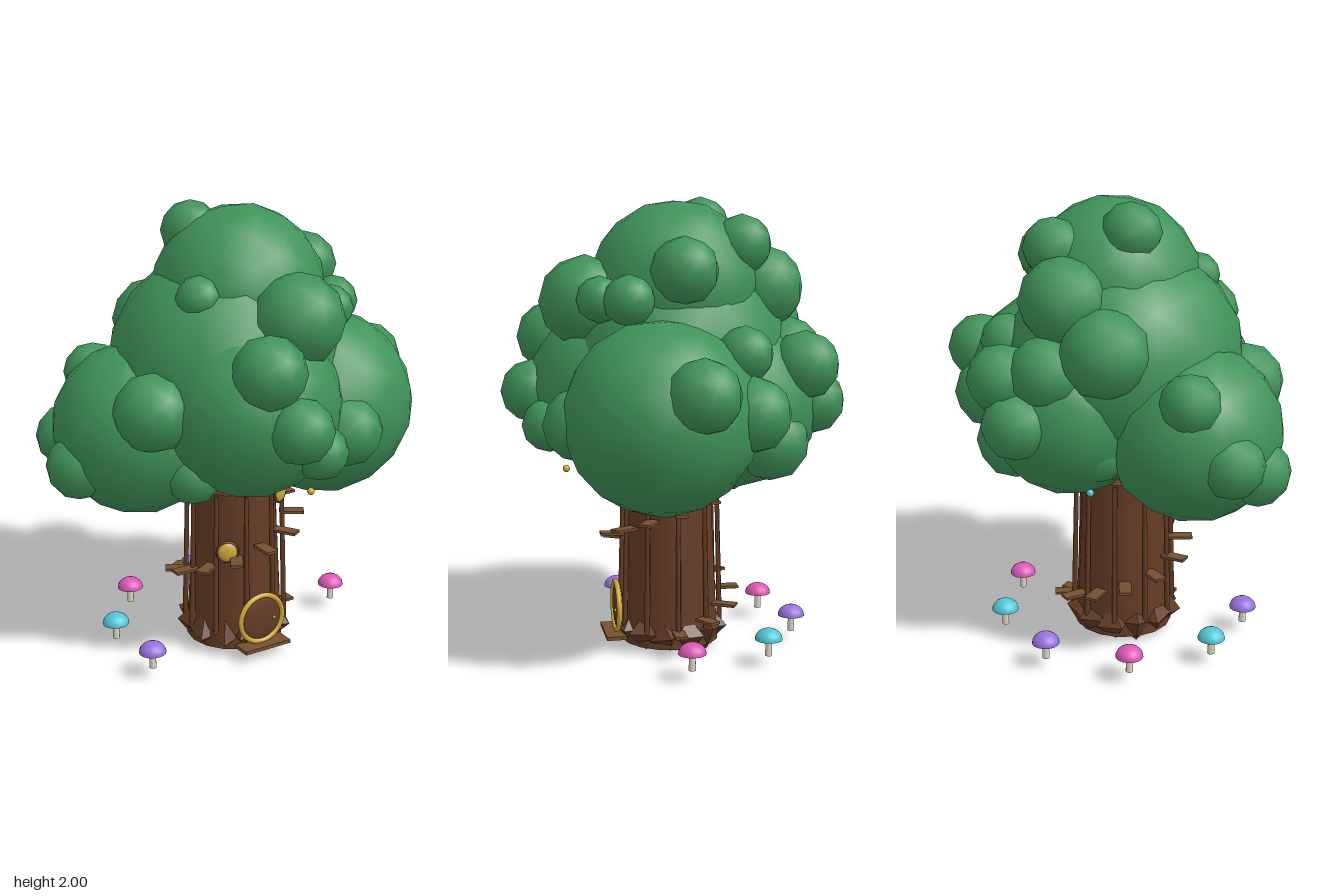
import * as THREE from 'three';

const mat = (name, color, side = THREE.FrontSide) => {
  const m = new THREE.MeshStandardMaterial({ color, side });
  m.name = name;
  return m;
};

export function createModel() {
  const root = new THREE.Group();
  root.name = 'treeHouse';
  const leaf = mat('leaf green', 0x3f9359);
  const bark = mat('bark brown', 0x643c25);
  const plank = mat('plank brown', 0x76502f);
  const gold = mat('gold', 0xd0aa34);
  const stemMat = mat('stem cream', 0xddd5c4);
  const pink = mat('pink', 0xdb55b6, THREE.DoubleSide);
  const teal = mat('teal', 0x50c6d6, THREE.DoubleSide);
  const purple = mat('purple', 0x9670dc, THREE.DoubleSide);

  const add = (name, geo, material, x = 0, y = 0, z = 0, parent = root) => {
    const mesh = new THREE.Mesh(geo, material);
    mesh.name = name;
    mesh.position.set(x, y, z);
    parent.add(mesh);
    return mesh;
  };
  let seed = 7;
  const rand = () => (seed = (seed * 16807) % 2147483647) / 2147483647;

  // Crown: large leaf masses [x, y, z, radius]
  const crown = new THREE.Group();
  crown.name = 'crown';
  root.add(crown);
  [
    [-0.05, 1.3, -0.03, 0.51],
    [0.015, 1.61, -0.02, 0.38],
    [0.37, 1.095, 0.1, 0.415],
    [-0.425, 1.045, -0.13, 0.38],
    [-0.085, 1.18, 0.22, 0.4],
    [0.09, 1.11, -0.27, 0.37],
  ].forEach(([x, y, z, r]) => add('leafMass', new THREE.IcosahedronGeometry(r, 2), leaf, x, y, z, crown));

  // Small leaf clumps, in two batches
  const clump = ([x, y, z, r]) => add('leafClump', new THREE.IcosahedronGeometry(r, 1), leaf, x, y, z, crown);
  [
    [-0.14, 1.87, -0.16, 0.13],
    [0.34, 1.7, 0, 0.145],
    [0.16, 1.8, -0.28, 0.13],
    [0.05, 1.56, 0.38, 0.2],
    [-0.17, 1.39, 0.5, 0.16],
    [-0.08, 1.16, 0.6, 0.14],
    [0.06, 1.03, 0.54, 0.12],
    [0.27, 1.06, 0.43, 0.16],
    [-0.52, 1.2, 0.17, 0.17],
    [-0.71, 0.92, -0.13, 0.15],
    [0.71, 1.23, -0.01, 0.155],
    [-0.29, 1.645, 0.16, 0.1],
    [0.33, 1.58, 0.23, 0.11],
    [0.24, 1.58, 0.34, 0.1],
  ].forEach(clump);
  [
    [0.42, 1.36, -0.24, 0.12],
    [0.05, 1.61, -0.39, 0.19],
    [-0.17, 1.43, -0.44, 0.19],
    [0.26, 1.29, -0.54, 0.15],
    [0.07, 1.33, -0.5, 0.16],
    [0.16, 1.12, -0.6, 0.145],
    [0.5, 1.12, -0.26, 0.16],
    [0.3, 0.97, -0.38, 0.17],
    [-0.52, 1.25, -0.37, 0.13],
    [-0.68, 1.0, -0.31, 0.14],
    [-0.1, 0.98, -0.38, 0.13],
    [-0.35, 0.9, 0.2, 0.12],
  ].forEach(clump);

  // Trunk with thin bark ridges; its axis sits slightly off centre
  const trunk = new THREE.Group();
  trunk.name = 'trunk';
  trunk.position.x = -0.02;
  root.add(trunk);
  add('trunkCore', new THREE.CylinderGeometry(0.185, 0.22, 0.72, 16), bark, 0, 0.39, 0, trunk);
  for (let i = 0; i < 10; i++) {
    const a = i / 10 * Math.PI * 2;
    const ridge = add('barkRidge', new THREE.CylinderGeometry(0.01, 0.012, 0.65, 6), bark,
      Math.cos(a) * 0.219, 0.425, Math.sin(a) * 0.219, trunk);
    ridge.rotation.set(-Math.sin(a) * 0.025, 0, Math.cos(a) * 0.025);
  }

  // Jagged root lumps around the foot
  for (let i = 0; i < 12; i++) {
    const a = (i + 0.5) / 12 * Math.PI * 2;
    const geo = new THREE.OctahedronGeometry(0.078 + rand() * 0.01, 0);
    geo.rotateZ((rand() - 0.5) * 0.7).rotateY(rand() * 6);
    add('rootLump', geo, bark, Math.cos(a) * 0.185, 0.085 + rand() * 0.015, Math.sin(a) * 0.185, trunk);
  }

  // Spiral of step planks
  for (let i = 0; i < 16; i++) {
    const a = i * Math.PI / 6;
    const step = add('stepPlank', new THREE.BoxGeometry(0.11, 0.012, 0.055), plank,
      Math.cos(a) * 0.258, 0.112 + i * 0.045, -Math.sin(a) * 0.258, trunk);
    step.rotation.y = a;
  }

  // Round domed door with rim, knob and doorstep
  const door = new THREE.Group();
  door.name = 'door';
  door.position.set(-0.03, 0.18, 0.24);
  root.add(door);
  add('doorPanel', new THREE.SphereGeometry(0.11, 32, 16).scale(1, 1, 0.18), bark, 0, 0, -0.005, door);
  add('doorRim', new THREE.TorusGeometry(0.109, 0.012, 8, 32), gold, 0, 0, 0.003, door);
  add('doorKnob', new THREE.SphereGeometry(0.008, 8, 6), gold, 0.06, -0.005, 0.014, door);
  add('doorstep', new THREE.BoxGeometry(0.235, 0.016, 0.09), plank, -0.03, 0.06, 0.255);

  // Round domed windows on the trunk
  [[-0.14, 0.5, 0.165], [0.145, 0.72, 0.15]].forEach(([x, y, z]) => {
    const win = new THREE.Group();
    win.name = 'window';
    win.position.set(x - 0.02, y, z);
    win.rotation.y = Math.atan2(x, z) * 0.6;
    root.add(win);
    add('windowPane', new THREE.SphereGeometry(0.045, 20, 10).scale(1, 1, 0.4), gold, 0, 0, 0, win);
    add('windowRim', new THREE.TorusGeometry(0.046, 0.006, 6, 20), bark, 0, 0, 0, win);
  });

  // Hanging lights under the crown
  add('goldLight', new THREE.SphereGeometry(0.016, 10, 8), gold, 0.065, 0.835, 0.47);
  add('tealLight', new THREE.SphereGeometry(0.016, 10, 8), teal, -0.12, 0.835, -0.48);

  // Mushrooms around the tree
  [
    [0.525, 0, pink],
    [0.395, -0.36, teal],
    [0.07, -0.545, purple],
    [-0.305, -0.48, pink],
    [-0.545, -0.17, teal],
    [-0.545, 0.17, purple],
  ].forEach(([x, z, capMat]) => {
    const m = new THREE.Group();
    m.name = 'mushroom';
    m.position.set(x, 0, z);
    root.add(m);
    add('mushroomStem', new THREE.CylinderGeometry(0.013, 0.016, 0.08, 10), stemMat, 0, 0.09, 0, m);
    const cap = add('mushroomCap', new THREE.SphereGeometry(0.06, 16, 6, 0, Math.PI * 2, 0, Math.PI / 2), capMat, 0, 0.122, 0, m);
    cap.scale.y = 0.82;
  });

  return root;
}
